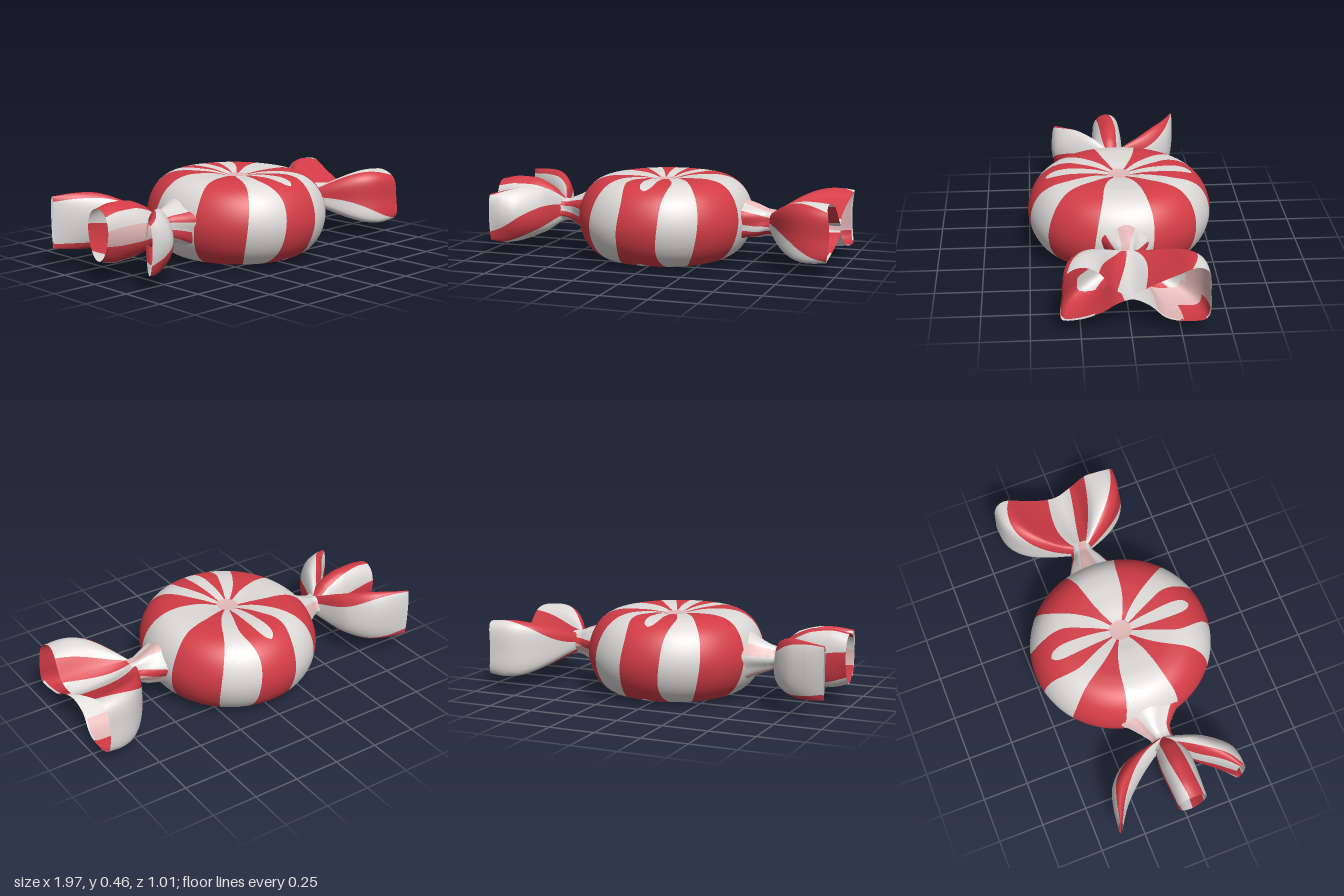
import * as THREE from 'three';

const mat = (name, color) => {
  const m = new THREE.MeshStandardMaterial({ color, side: THREE.DoubleSide });
  m.name = name;
  return m;
};
const V = (x, y, z) => new THREE.Vector3(x, y, z);
const TAU = Math.PI * 2;
const MID = 0.2275; // height of the candy's middle plane
const { lerp, smoothstep } = THREE.MathUtils;

// Smooth patch of surface f(u, v) between two u edges that may drift along v
function patch(f, lo, hi, v0, v1, nu, nv) {
  const pos = [], nor = [], idx = [], e = 1e-3;
  for (let j = 0; j <= nv; j++) {
    const v = v0 + (v1 - v0) * j / nv, a = lo(v), b = hi(v);
    const va = Math.max(v - e, 0), vb = Math.min(v + e, 1);
    for (let i = 0; i <= nu; i++) {
      const u = a + (b - a) * i / nu;
      const du = f(u + e, v).sub(f(u - e, v));
      const n = du.cross(f(u, vb).sub(f(u, va))).normalize();
      pos.push(...f(u, v).toArray());
      nor.push(...n.toArray());
      if (i < nu && j < nv) {
        const k = j * (nu + 1) + i, m = k + nu + 1;
        idx.push(k, k + 1, m, k + 1, m + 1, m);
      }
    }
  }
  const g = new THREE.BufferGeometry();
  g.setAttribute('position', new THREE.Float32BufferAttribute(pos, 3));
  g.setAttribute('normal', new THREE.Float32BufferAttribute(nor, 3));
  g.setIndex(idx);
  return g;
}

// Closed surface cut into lengthwise bands [edge at the start, material, edge at the end]
function banded(name, f, bands) {
  const group = new THREE.Group();
  group.name = name;
  bands.forEach(([s0, material, s1], i) => {
    const last = i + 1 === bands.length, next = bands[last ? 0 : i + 1], turn = last ? 1 : 0;
    const g = patch(f, v => lerp(s0, s1, v), v => lerp(next[0], next[2], v) + turn, 0, 1, 14, 28);
    const mesh = new THREE.Mesh(g, material);
    mesh.name = name + 'Stripe';
    group.add(mesh);
  });
  return group;
}

// Tube with elliptical sections [x, y, z, halfHeight, halfDepth] and soft creases
function creasedTube(sections, crease, folds) {
  const centre = new THREE.CatmullRomCurve3(sections.map(s => V(s[0], s[1], s[2])));
  const size = new THREE.CatmullRomCurve3(sections.map(s => V(s[3], s[4], 0)));
  return (u, v) => {
    const c = centre.getPoint(v), h = size.getPoint(v), a = u * TAU;
    const k = 1 + crease * Math.cos(folds * a + v * 3);
    return V(c.x, c.y + h.x * k * Math.cos(a), c.z + h.y * k * Math.sin(a));
  };
}

export function createModel() {
  const red = mat('candy red', 0xd33c46);
  const white = mat('wrapper white', 0xdddad8);
  const pink = mat('faded pink', 0xe3b9b8);
  const model = new THREE.Group();
  model.name = 'wrappedCandy';

  // Candy body: a rounded disc with a shallow dimple on both faces
  const half = [[0, 0.205], [0.06, 0.208], [0.14, 0.222], [0.22, 0.227], [0.3, 0.226],
    [0.38, 0.207], [0.445, 0.158], [0.487, 0.085]];
  const pts = [...half, [0.503, 0], ...half.slice().reverse().map(([r, y]) => [r, -y])];
  const profile = new THREE.SplineCurve(pts.map(p => new THREE.Vector2(...p)));
  const body = (a, v) => {
    const p = profile.getPoint(v), r = Math.max(p.x, 1e-4);
    return V(r * Math.cos(a) * (0.97 - 0.02 * Math.abs(Math.cos(a)) ** 3), MID + p.y, r * Math.sin(a));
  };
  const candy = new THREE.Group();
  candy.name = 'candyBody';
  const vc = 1 / (pts.length - 1);
  const add = (name, m, lo, hi, v0 = vc, v1 = 1 - vc, nu = 10, nv = 110) => {
    const mesh = new THREE.Mesh(patch(body, lo, hi, v0, v1, nu, nv), m);
    mesh.name = name;
    candy.add(mesh);
  };

  // Stripe edges sway down the side; the front and back stripes hold a white petal
  const radius = v => profile.getPoint(v).x;
  const sway = v => {
    const p = profile.getPoint(v);
    return -0.045 * (p.y / 0.2) * (p.x / 0.5) ** 2;
  };
  const wide = v => 0.42 - 0.19 * smoothstep(radius(v), 0.28, 0.5);
  const narrow = v => 0.12 + 0.175 * smoothstep(radius(v), 0.04, 0.42);
  const petal = v => {
    const r = radius(v), t = Math.max((r - 0.05) / 0.35, 0);
    if (t >= 1) return 0;
    return 0.047 * Math.sqrt(1 - t ** 8) * (0.35 + 0.65 * t ** 0.7) / r;
  };
  const at = (c, w, s) => v => c + sway(v) + s * w(v);
  for (const c of [Math.PI / 2, Math.PI * 1.5]) {
    const d = 0.965; // angle to the neighbouring red stripe
    add('redStripe', red, at(c, wide, -1), at(c, petal, -1));
    add('whitePetal', white, at(c, petal, -1), at(c, petal, 1));
    add('redStripe', red, at(c, petal, 1), at(c, wide, 1));
    add('whiteStripe', white, at(c, wide, 1), at(c + d, narrow, -1));
    add('redStripe', red, at(c + d, narrow, -1), at(c + d, narrow, 1));
    add('whiteEndStripe', white, at(c + d, narrow, 1), at(c + Math.PI - d, narrow, -1));
    add('redStripe', red, at(c + Math.PI - d, narrow, -1), at(c + Math.PI - d, narrow, 1));
    add('whiteStripe', white, at(c + Math.PI - d, narrow, 1), at(c + Math.PI, wide, -1));
  }
  add('topCentre', pink, () => 0, () => TAU, 0, vc, 32, 4);
  add('bottomCentre', pink, () => 0, () => TAU, 1 - vc, 1, 32, 4);
  model.add(candy);

  // Twisted necks on both sides
  const leftNeck = creasedTube([[0.41, 0.23, 0, 0.12, 0.16], [0.47, 0.23, 0, 0.1, 0.115],
    [0.53, 0.225, 0, 0.088, 0.085], [0.58, 0.225, 0, 0.07, 0.062], [0.63, 0.225, 0, 0.065, 0.06]], 0.06, 5);
  const rightNeck = creasedTube([[-0.41, 0.23, 0, 0.14, 0.21], [-0.48, 0.23, 0, 0.1, 0.13],
    [-0.54, 0.23, 0, 0.075, 0.08], [-0.59, 0.23, 0.01, 0.06, 0.06], [-0.66, 0.23, 0.01, 0.085, 0.09]], 0.06, 5);
  model.add(banded('leftNeck', leftNeck, [[-0.08, pink, -0.04], [0.04, white, 0.08], [0.14, red, 0.18],
    [0.26, white, 0.3], [0.31, red, 0.36], [0.42, white, 0.48], [0.6, pink, 0.66], [0.68, red, 0.76],
    [0.76, white, 0.84]]));
  model.add(banded('rightNeck', rightNeck, [[-0.1, white, -0.12], [0.13, red, 0.1], [0.22, white, 0.16],
    [0.3, red, 0.24], [0.39, white, 0.32], [0.52, pink, 0.48], [0.62, white, 0.58], [0.8, pink, 0.76]]));

  // Left wrapper end: one flared sheet pinched into a bow, mouth outline as [z, y]
  const mouth = new THREE.CatmullRomCurve3([[0, 0.225], [0.08, 0.26], [0.17, 0.36], [0.26, 0.375],
    [0.325, 0.335], [0.34, 0.22], [0.345, 0.1], [0.25, 0.09], [0.15, 0.13], [0.07, 0.185],
    [0, 0.2], [-0.09, 0.155], [-0.17, 0.09], [-0.28, 0.075], [-0.38, 0.085], [-0.392, 0.22],
    [-0.375, 0.345], [-0.32, 0.37], [-0.22, 0.325], [-0.1, 0.265]].map(([z, y]) => V(0, y, z)), true);
  const bow = (u, v) => {
    const a = u * TAU, end = mouth.getPoint(((u % 1) + 1) % 1);
    const k = 1 - (1 - v) ** 2.8;
    const puff = 1 + 0.13 * Math.sin(Math.PI * v) * Math.abs(Math.sin(a));
    const y = lerp(0.225 + 0.06 * Math.cos(a), end.y, k);
    return V(0.6 + (0.375 + 0.012 * Math.sin(a * 5)) * v,
      0.225 + (y - 0.225) * puff, lerp(0.055 * Math.sin(a), end.z, k));
  };
  model.add(banded('leftWrapperEnd', bow, [[-0.07, white, -0.035], [0, red, 0.045], [0.06, white, 0.095],
    [0.11, red, 0.19], [0.24, white, 0.3], [0.35, red, 0.385], [0.44, white, 0.475],
    [0.58, red, 0.635], [0.65, white, 0.695], [0.76, red, 0.865]]));

  // Linings just within the two folds of the sheet: [fold centre z, colour, u range, v range]
  for (const [z, colour, u0, u1, v0, v1] of [
    [0.24, red, 0.15, 0.43, 0.35, 0.97],
    [-0.24, pink, 0.72, 0.87, 0.35, 0.98],
    [-0.24, pink, 0.57, 0.72, 0.3, 0.6],
    [-0.24, red, 0.64, 0.72, 0.6, 0.98],
    [-0.24, pink, 0.57, 0.64, 0.6, 0.98],
  ]) {
    const inside = (u, v) => {
      const p = bow(u, v);
      return V(p.x, 0.225 + (p.y - 0.225) * 0.965, z + (p.z - z) * 0.965);
    };
    const lining = new THREE.Mesh(patch(inside, () => u0, () => u1, v0, v1, 14, 16), colour);
    lining.name = 'leftWrapperLining';
    model.add(lining);
  }

  // Right wrapper end: three flattened lobes fanning apart
  const backLobe = creasedTube([[-0.6, 0.23, 0, 0.055, 0.04], [-0.66, 0.24, -0.15, 0.11, 0.1],
    [-0.75, 0.25, -0.26, 0.145, 0.085], [-0.86, 0.255, -0.335, 0.15, 0.045],
    [-0.97, 0.26, -0.38, 0.14, 0.012]], 0.05, 3);
  const middleLobe = creasedTube([[-0.6, 0.23, 0.01, 0.055, 0.05], [-0.67, 0.24, 0.02, 0.11, 0.08],
    [-0.78, 0.25, 0.02, 0.15, 0.09], [-0.89, 0.255, 0.02, 0.155, 0.085],
    [-0.985, 0.26, 0.02, 0.135, 0.08]], 0.05, 3);
  const frontLobe = creasedTube([[-0.6, 0.23, 0.01, 0.055, 0.04], [-0.67, 0.235, 0.13, 0.12, 0.09],
    [-0.76, 0.23, 0.225, 0.145, 0.1], [-0.84, 0.225, 0.29, 0.145, 0.065],
    [-0.915, 0.225, 0.33, 0.13, 0.025]], 0.05, 3);
  model.add(banded('rightWrapperBackLobe', backLobe,
    [[-0.16, red, -0.06], [0.02, white, 0.12], [0.36, red, 0.42], [0.56, white, 0.6]]));
  model.add(banded('rightWrapperMiddleLobe', middleLobe,
    [[-0.12, red, -0.04], [0.05, white, 0.13], [0.18, pink, 0.22], [0.28, red, 0.32],
      [0.42, white, 0.48], [0.57, red, 0.62], [0.75, white, 0.8]]));
  model.add(banded('rightWrapperFrontLobe', frontLobe,
    [[-0.16, white, 0.07], [0.15, red, 0.37], [0.32, white, 0.52], [0.5, red, 0.66],
      [0.66, white, 0.8], [0.76, red, 0.93]]));
  return model;
}
